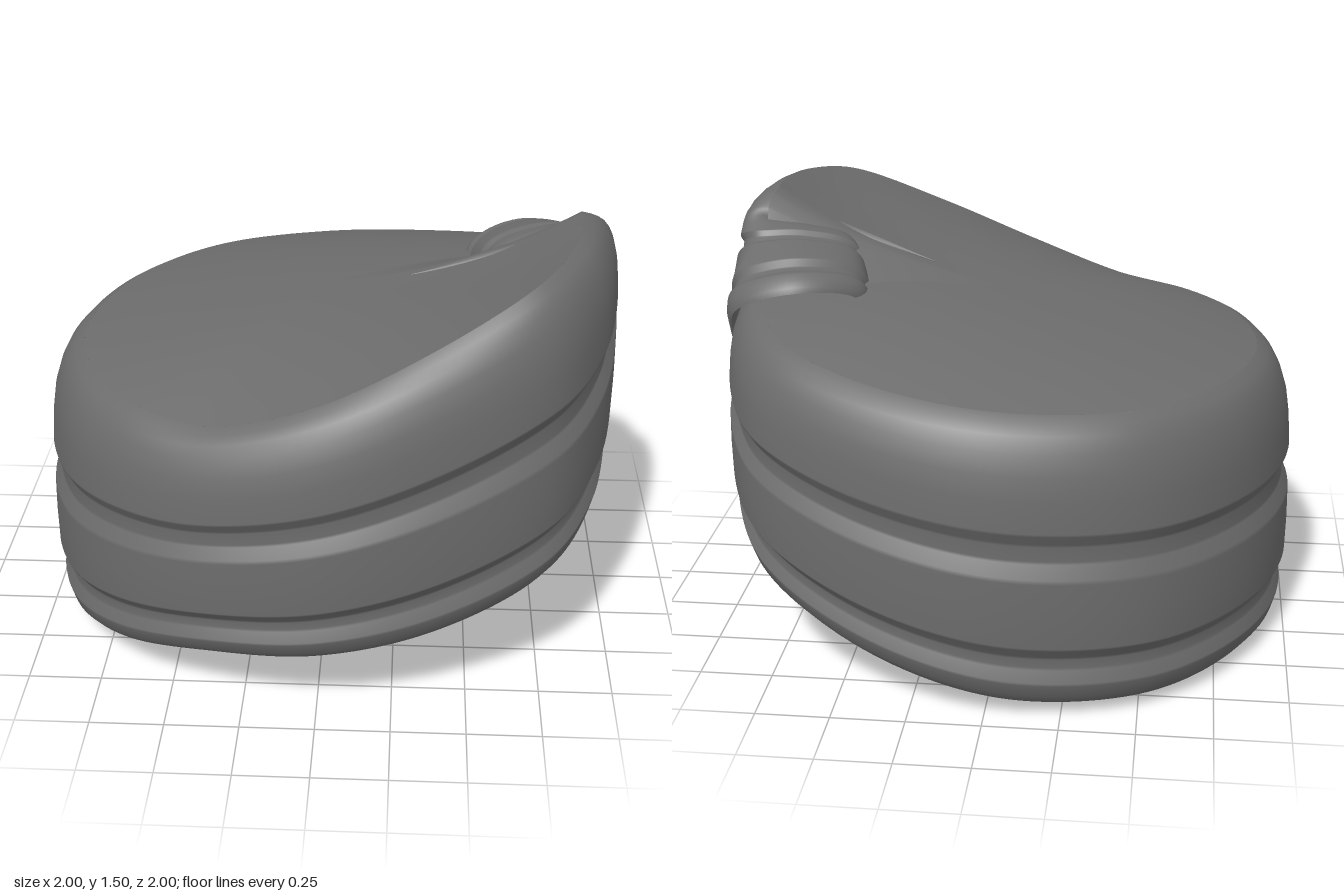
import * as THREE from 'three';

const V = (x, y, z) => new THREE.Vector3(x, y, z);

// Stations of the wrapped cloth wall, from the hidden end at the left side,
// around the back, right and front: [x, z, bottom y, top y]
const wall = [
  [0.95, 0.2, 0.58, 1.2], [0.98, 0, 0.55, 1.22], [0.955, -0.34, 0.45, 1.19],
  [0.8, -0.67, 0.31, 1.14], [0.42, -0.91, 0.16, 1.08], [-0.05, -1, 0.06, 1.04],
  [-0.53, -0.87, 0.03, 1.02], [-0.86, -0.51, 0.02, 1.01], [-1, 0, 0, 1.0],
  [-0.9, 0.45, 0.05, 1.0], [-0.7, 0.73, 0.12, 1.0], [-0.4, 0.92, 0.2, 1.01],
  [0, 1, 0.24, 1.12], [0.4, 0.93, 0.3, 1.28], [0.77, 0.74, 0.41, 1.44],
  [0.93, 0.48, 0.5, 1.49], [0.985, 0.22, 0.59, 1.5],
];
// Stations of the end folded over the rim: lower edge, upper edge, outward direction
const fold = [
  [V(1, 0.76, 0), V(0.98, 1.485, 0.07), V(1, 0, 0)],
  [V(1, 1.02, -0.2), V(0.95, 1.465, 0.01), V(0.95, 0.3, 0)],
  [V(0.94, 1.21, -0.36), V(0.87, 1.44, 0), V(0.6, 0.8, -0.2)],
  [V(0.7, 1.3, -0.4), V(0.73, 1.41, 0.05), V(0, 1, -0.2)],
  [V(0.48, 1.24, -0.28), V(0.58, 1.35, 0.08), V(-0.7, 0.7, 0)],
  [V(0.45, 1.05, -0.17), V(0.52, 1.12, 0.08), V(-1, 0, 0)],
];
const stations = [
  ...wall.map(([x, z, yb, yt]) => [V(x, yb, z), V(x, yt, z), V(x, 0, z).normalize()]),
  ...fold,
];
const last = stations.length - 1;
const [lower, upper, outward] = [0, 1, 2].map(
  (k) => new THREE.CatmullRomCurve3(stations.map((s) => s[k])));

// Cloth section with two pleat grooves: [height fraction, outward offset]
const section = [
  [0, -0.085], [0.015, -0.055], [0.05, -0.027], [0.095, -0.014], [0.105, -0.013], [0.145, -0.03],
  [0.155, -0.032], [0.185, -0.032], [0.195, -0.029], [0.23, -0.004], [0.24, 0], [0.36, 0.002],
  [0.47, 0], [0.485, -0.002], [0.53, -0.025], [0.54, -0.027], [0.59, -0.027], [0.6, -0.025],
  [0.635, -0.006], [0.645, -0.004], [0.75, -0.012], [0.83, -0.024], [0.9, -0.046],
  [0.95, -0.072], [0.98, -0.1], [1, -0.135],
];

// Point of the cloth at a station number; the pleats crowd upward into the fold
function clothPoint(station, [v, offset]) {
  const t = station / last;
  const b = lower.getPoint(t), e = upper.getPoint(t);
  const scale = Math.min(1, b.distanceTo(e) / 0.8);
  const crowd = 0.55 * THREE.MathUtils.smoothstep(station, 14, 17.5);
  return b.lerp(e, v + crowd * v * (1 - v))
    .addScaledVector(outward.getPoint(t).normalize(), offset * scale);
}

// Sample one line of the cloth between two station numbers
function line(from, to, sample, count = 140) {
  return Array.from({ length: count }, (_, i) =>
    clothPoint(from + (to - from) * i / (count - 1), sample));
}

// Skin a grid of points given row by row
function skin(rows, closed = false) {
  const n = rows[0].length, index = [];
  for (let j = 0; j < rows.length - 1; j++) {
    for (let i = 0; i < (closed ? n : n - 1); i++) {
      const k = (i + 1) % n;
      const a = j * n + i, b = j * n + k, c = a + n, d = b + n;
      index.push(a, b, d, a, d, c);
    }
  }
  const geometry = new THREE.BufferGeometry().setFromPoints(rows.flat());
  geometry.setIndex(index);
  geometry.computeVertexNormals();
  return geometry;
}

// Smooth surface closing a rim, easing into a sloping plane at the middle
function cap(rim, height, slopeX, slopeZ, power) {
  const rows = [];
  for (let j = 0; j <= 20; j++) {
    const r = Math.max(1 - j / 20, 0.002);
    rows.push(rim.map((p) => {
      const plane = height + slopeX * p.x * r + slopeZ * p.z * r;
      const rise = p.y - (height + slopeX * p.x + slopeZ * p.z);
      return V(p.x * r, plane + rise * r ** power, p.z * r);
    }));
  }
  return skin(rows, true);
}

export function createModel() {
  const group = new THREE.Group();
  const material = new THREE.MeshStandardMaterial({ color: 0x6c6c6c, side: THREE.DoubleSide });
  const add = (name, geometry) => {
    const mesh = new THREE.Mesh(geometry, material);
    mesh.name = name;
    group.add(mesh);
    return mesh;
  };

  // Pleated cloth wound once around, then folded over the rim
  add('wrappedBand', skin(section.map((s) => line(0, last, s, 240))));

  // Crown inside the upper edge
  add('crown', cap(line(1.8, 18, section[section.length - 1]), 1.18, 0.17, 0.03, 2.4));

  // Hollowed underside inside the lower edge
  add('underside', cap(line(0, 16, section[0]).reverse(), 0.35, 0.28, 0.09, 3.5));

  // Small pointed tail tucked out of the fold onto the crown
  const tail = add('tuckedTail', new THREE.ConeGeometry(0.05, 0.38, 8));
  tail.scale.z = 0.6;
  tail.quaternion.setFromUnitVectors(V(0, 1, 0), V(-0.38, -0.09, -0.04).normalize());
  tail.position.set(0.46, 1.285, 0.09);

  return group;
}
